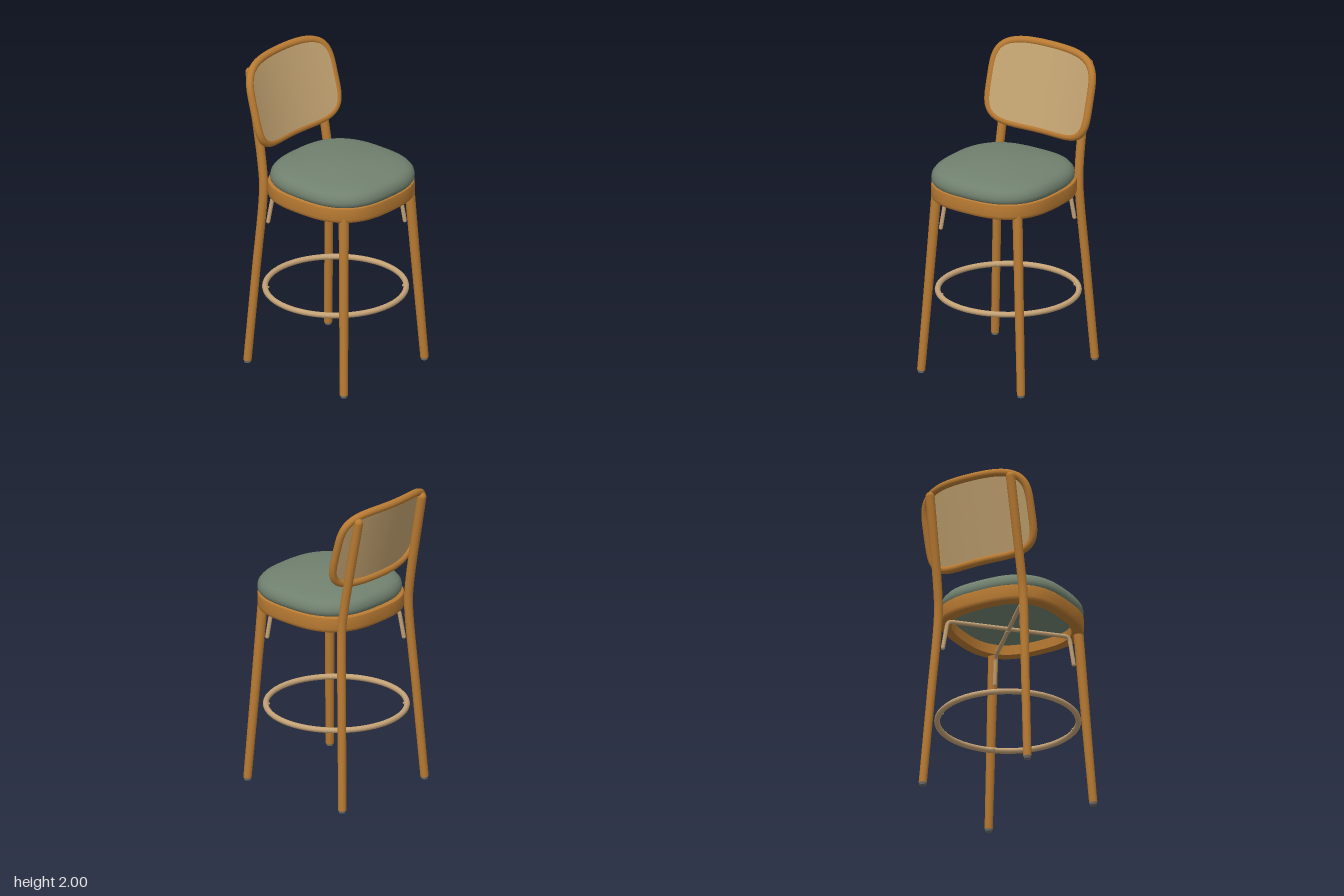
import * as THREE from 'three';
import { toCreasedNormals } from 'three/addons/utils/BufferGeometryUtils.js';

const V = (x, y, z) => new THREE.Vector3(x, y, z);
const mat = (name, color, side = THREE.FrontSide) => {
  const m = new THREE.MeshStandardMaterial({ color, side });
  m.name = name;
  return m;
};

// points of a rounded outline (superellipse, evenly spread by angle)
function outline(a, b, n, count = 80) {
  const pts = [];
  for (let i = 0; i < count; i++) {
    const t = (i / count) * Math.PI * 2, c = Math.cos(t), s = Math.sin(t);
    const r = (Math.abs(c / a) ** n + Math.abs(s / b) ** n) ** (-1 / n);
    pts.push([r * c, r * s]);
  }
  return pts;
}

// surface through rows of points, each row a closed loop
function skin(rows) {
  const n = rows[0].length, pos = [], index = [];
  rows.forEach(row => row.forEach(p => pos.push(p.x, p.y, p.z)));
  for (let j = 0; j < rows.length - 1; j++) {
    for (let i = 0; i < n; i++) {
      const k = (i + 1) % n, a = j * n + i, b = j * n + k;
      index.push(a, a + n, b, b, a + n, b + n);
    }
  }
  const g = new THREE.BufferGeometry();
  g.setAttribute('position', new THREE.Float32BufferAttribute(pos, 3));
  g.setIndex(index);
  g.computeVertexNormals();
  return g;
}

// seat-shaped body from a profile of [scale, height]
function seatBody(profile, halfX, halfZ, zMid, power) {
  const base = outline(halfX, halfZ, power);
  return skin(profile.map(([s, y]) => base.map(([x, z]) => V(x * s, y, z * s + zMid))));
}

// round rod whose radius runs from r0 to r1
function taperedRod(points, r0, r1, segments = 24) {
  const curve = new THREE.CatmullRomCurve3(points);
  const g = new THREE.TubeGeometry(curve, segments, 1, 16);
  const p = g.attributes.position, v = V(0, 0, 0);
  for (let i = 0; i < p.count; i++) {
    const t = Math.floor(i / 17) / segments, c = curve.getPointAt(t);
    v.fromBufferAttribute(p, i).sub(c).multiplyScalar(r0 + (r1 - r0) * t).add(c);
    p.setXYZ(i, v.x, v.y, v.z);
  }
  return g;
}

// leaning, curved surface of the backrest; lift moves it forward
const bend = (x, y, lift = 0) => V(x, y + 1.717, -0.394 - 0.27 * y + 0.46 * x * x + lift);

export function createModel() {
  const group = new THREE.Group();
  const wood = mat('wood', 0xb87a32);
  const cane = mat('cane', 0xc4a472, THREE.DoubleSide);
  const metal = mat('brass', 0xc4a276);
  const fabric = mat('greenFabric', 0x71816f);
  const pad = mat('footPad', 0x6c6c6a);
  const add = (name, geometry, material, at) => {
    const m = new THREE.Mesh(geometry, material);
    m.name = name;
    if (at) m.position.copy(at);
    group.add(m);
    return m;
  };

  // seat frame: hollow band with softened edges
  add('seatFrame', toCreasedNormals(seatBody([
    [0.83, 1.15], [0.975, 1.15], [0.993, 1.157], [1, 1.172], [1, 1.233],
    [0.995, 1.245], [0.98, 1.25], [0.83, 1.25], [0.83, 1.15],
  ], 0.41, 0.418, 0.057, 2.75), 0.7), wood);

  // cushion
  add('cushion', seatBody([
    [0, 1.215], [0.84, 1.215], [0.9, 1.235], [0.97, 1.25], [0.995, 1.265], [1, 1.285],
    [0.985, 1.312], [0.94, 1.335], [0.86, 1.35], [0.7, 1.364], [0.45, 1.379], [0.2, 1.387], [0, 1.388],
  ], 0.405, 0.41, 0.067, 2.75), fabric);

  // legs, back posts and feet
  const ringCentre = V(0, 0.505, 0.011);
  for (const side of [-1, 1]) {
    const front = [V(side * 0.377, 0.015, 0.411), V(side * 0.341, 0.6, 0.379), V(side * 0.305, 1.2, 0.347)];
    add('frontLeg', taperedRod(front, 0.026, 0.032), wood);

    const back = [V(side * 0.377, 0.015, -0.383), V(side * 0.341, 0.6, -0.347),
      V(side * 0.306, 1.17, -0.314), V(side * 0.3, 1.32, -0.329), V(side * 0.29, 1.925, -0.44)];
    add('backLeg', taperedRod(back, 0.026, 0.029, 48), wood);
    add('postTip', new THREE.SphereGeometry(0.029, 16, 10), wood, back[4]);

    for (const leg of [front, back]) {
      add('foot', new THREE.CylinderGeometry(0.024, 0.021, 0.022, 16), pad, V(leg[0].x, 0.011, leg[0].z));
      // small screw on the inside of the footrest, facing the leg
      const out = V(leg[1].x, 0, leg[1].z - ringCentre.z).setLength(0.418);
      add('footrestScrew', new THREE.SphereGeometry(0.008, 10, 8), metal, out.add(ringCentre));
    }
  }

  // round footrest
  const ring = add('footrestRing', new THREE.TorusGeometry(0.437, 0.018, 12, 72), metal, ringCentre);
  ring.rotation.x = Math.PI / 2;

  // crossed braces under the seat, ends turned down along the legs
  for (const side of [-1, 1]) {
    const y = 1.132 - side * 0.004;
    const path = new THREE.CurvePath();
    const pts = [V(side * 0.285, 0.95, 0.33), V(side * 0.268, 1.1, 0.314), V(side * 0.245, y, 0.285),
      V(-side * 0.245, y, -0.25), V(-side * 0.268, 1.1, -0.275), V(-side * 0.285, 0.95, -0.294)];
    path.add(new THREE.LineCurve3(pts[0], pts[1]));
    path.add(new THREE.QuadraticBezierCurve3(pts[1], V(side * 0.265, y, 0.31), pts[2]));
    path.add(new THREE.LineCurve3(pts[2], pts[3]));
    path.add(new THREE.QuadraticBezierCurve3(pts[3], V(-side * 0.265, y, -0.273), pts[4]));
    path.add(new THREE.LineCurve3(pts[4], pts[5]));
    add('seatBrace', new THREE.TubeGeometry(path, 80, 0.013, 10), metal);
    for (const p of [pts[0], pts[5]]) add('braceEnd', new THREE.SphereGeometry(0.013, 10, 8), metal, p);
  }
  add('braceScrew', new THREE.CylinderGeometry(0.012, 0.012, 0.036, 12), metal, V(0, 1.132, 0.018));

  // backrest frame
  const rim = outline(0.374, 0.258, 4.2, 72);
  const rimCurve = new THREE.CatmullRomCurve3(rim.map(([x, y]) => bend(x, y)), true);
  add('backrestFrame', new THREE.TubeGeometry(rimCurve, 144, 0.024, 14, true), wood);

  // woven panels: the front one nearly flush with the frame, the back one recessed
  const weave = outline(0.364, 0.248, 4.2, 72).reverse();
  const steps = [0, 0.1, 0.25, 0.4, 0.55, 0.7, 0.85, 1];
  for (const [name, lift] of [['frontPanel', 0.021], ['backPanel', 0]]) {
    add(name, skin(steps.map(s => weave.map(([x, y]) => bend(x * s, y * s, lift)))), cane);
  }

  return group;
}
